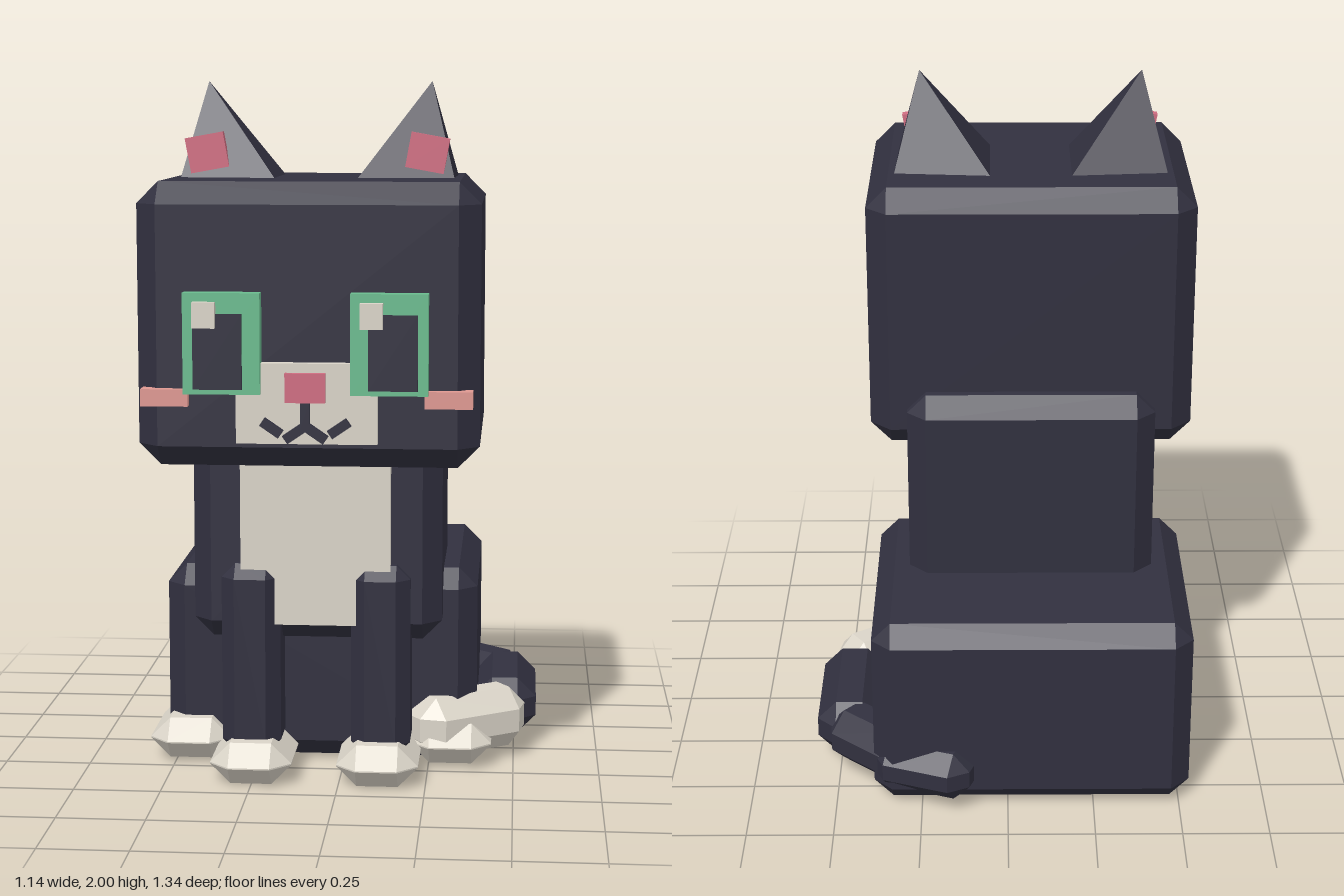
import * as THREE from 'three';
import { ConvexGeometry } from 'three/addons/geometries/ConvexGeometry.js';

const MID = -0.07; // mirror plane of the body; the tail makes up the rest of the width

const mat = (name, color) => {
  const m = new THREE.MeshStandardMaterial({ color });
  m.name = name;
  m.flatShading = true;
  return m;
};

// box with all edges cut at 45 degrees
function chamferBox(w, h, d, c) {
  const [x, y, z] = [w / 2, h / 2, d / 2];
  const pts = [];
  for (const i of [-1, 1]) for (const j of [-1, 1]) for (const k of [-1, 1]) {
    pts.push(
      new THREE.Vector3(i * x, j * (y - c), k * (z - c)),
      new THREE.Vector3(i * (x - c), j * y, k * (z - c)),
      new THREE.Vector3(i * (x - c), j * (y - c), k * z));
  }
  return new ConvexGeometry(pts);
}

export function createModel() {
  const cat = new THREE.Group();
  cat.name = 'cat';
  const fur = mat('dark fur', 0x31303f);
  const cream = mat('cream fur', 0xdad4c8);
  const green = mat('eye green', 0x6abb8e);
  const pink = mat('nose pink', 0xcf6c80);
  const blush = mat('cheek blush', 0xde9891);

  const add = (name, geo, material, x, y, z, ry = 0, rz = 0) => {
    const m = new THREE.Mesh(geo, material);
    m.name = name;
    m.position.set(x, y, z);
    m.rotation.set(0, ry, rz);
    cat.add(m);
    return m;
  };
  // parts given by their limits on each axis
  const span = (name, material, [x0, x1], [y0, y1], [z0, z1], c = 0) => {
    const s = [x1 - x0, y1 - y0, z1 - z0];
    const geo = c ? chamferBox(...s, c) : new THREE.BoxGeometry(...s);
    return add(name, geo, material, (x0 + x1) / 2, (y0 + y1) / 2, (z0 + z1) / 2);
  };

  // main masses
  span('head', fur, [-0.54, 0.4], [0.95, 1.73], [-0.17, 0.59], 0.06);
  span('torso', fur, [-0.43, 0.29], [0.4, 1.13], [-0.25, 0.31], 0.055);
  span('haunches', fur, [-0.53, 0.39], [0.005, 0.58], [-0.61, 0.165], 0.055);
  span('chestBib', cream, [-0.285, 0.145], [0.455, 1.0], [0.25, 0.345]);

  // face centre
  span('muzzle', cream, [-0.26, 0.125], [1.025, 1.245], [0.56, 0.62]);
  span('nose', pink, [-0.125, -0.015], [1.14, 1.22], [0.58, 0.64]);
  span('mouthStem', fur, [-0.083, -0.057], [1.065, 1.145], [0.6, 0.635]);

  for (const s of [-1, 1]) {
    const side = s < 0 ? 'right' : 'left';
    const X = (d) => MID + s * d;

    // legs and paws
    add(side + 'FrontLeg', chamferBox(0.17, 0.56, 0.2, 0.04), fur, X(0.187), 0.35, 0.27);
    add(side + 'FrontPaw', chamferBox(0.235, 0.12, 0.32, 0.058), cream, X(0.182), 0.06, 0.305);
    add(side + 'HindPaw', chamferBox(0.24, 0.12, 0.37, 0.058), cream, X(0.385), 0.07, 0.07);

    // eyes
    add(side + 'Iris', new THREE.BoxGeometry(0.21, 0.275, 0.06), green, X(0.227), 1.298, 0.605);
    const pupilX = s < 0 ? -0.307 : 0.168;
    add(side + 'Pupil', new THREE.BoxGeometry(0.133, 0.205, 0.04), fur, pupilX, 1.277, 0.624);
    add(side + 'EyeGlint', new THREE.BoxGeometry(0.062, 0.07, 0.04), cream, s < 0 ? -0.342 : 0.11, 1.377, 0.641);

    // cheek and mouth
    add(side + 'Cheek', new THREE.BoxGeometry(0.13, 0.047, 0.05), blush, X(0.387), 1.147, 0.59);
    const stroke = new THREE.BoxGeometry(0.062, 0.026, 0.035);
    add(side + 'InnerMouth', stroke, fur, X(0.03), 1.055, 0.617, 0, -s * 0.6);
    add(side + 'OuterMouth', stroke, fur, X(0.092), 1.07, 0.617, 0, s * 0.6);

    // ear: leaning four-sided spike with a pink inside
    const ear = new ConvexGeometry([
      [0.32, 2.0, 0.145], [0.11, 1.72, -0.01], [0.395, 1.72, 0.015],
      [0.39, 1.72, 0.265], [0.11, 1.72, 0.3],
    ].map(([x, y, z]) => new THREE.Vector3(X(x), y, z)));
    add(side + 'Ear', ear, fur, 0, 0, 0);
    add(side + 'InnerEar', new THREE.BoxGeometry(0.11, 0.1, 0.03), pink, X(0.312), 1.8, 0.252, 0, -s * 0.18);
  }

  // tail curling round the left flank
  add('tailRoot', chamferBox(0.3, 0.15, 0.17, 0.05), fur, 0.24, 0.115, -0.56, -0.35);
  add('tailBend', chamferBox(0.3, 0.165, 0.18, 0.055), fur, 0.39, 0.12, -0.44, -0.72);
  add('tailSide', chamferBox(0.19, 0.17, 0.43, 0.056), fur, 0.472, 0.122, -0.205);
  add('tailTip', chamferBox(0.37, 0.18, 0.18, 0.056), cream, 0.36, 0.115, 0.095, 0.6);

  return cat;
}
